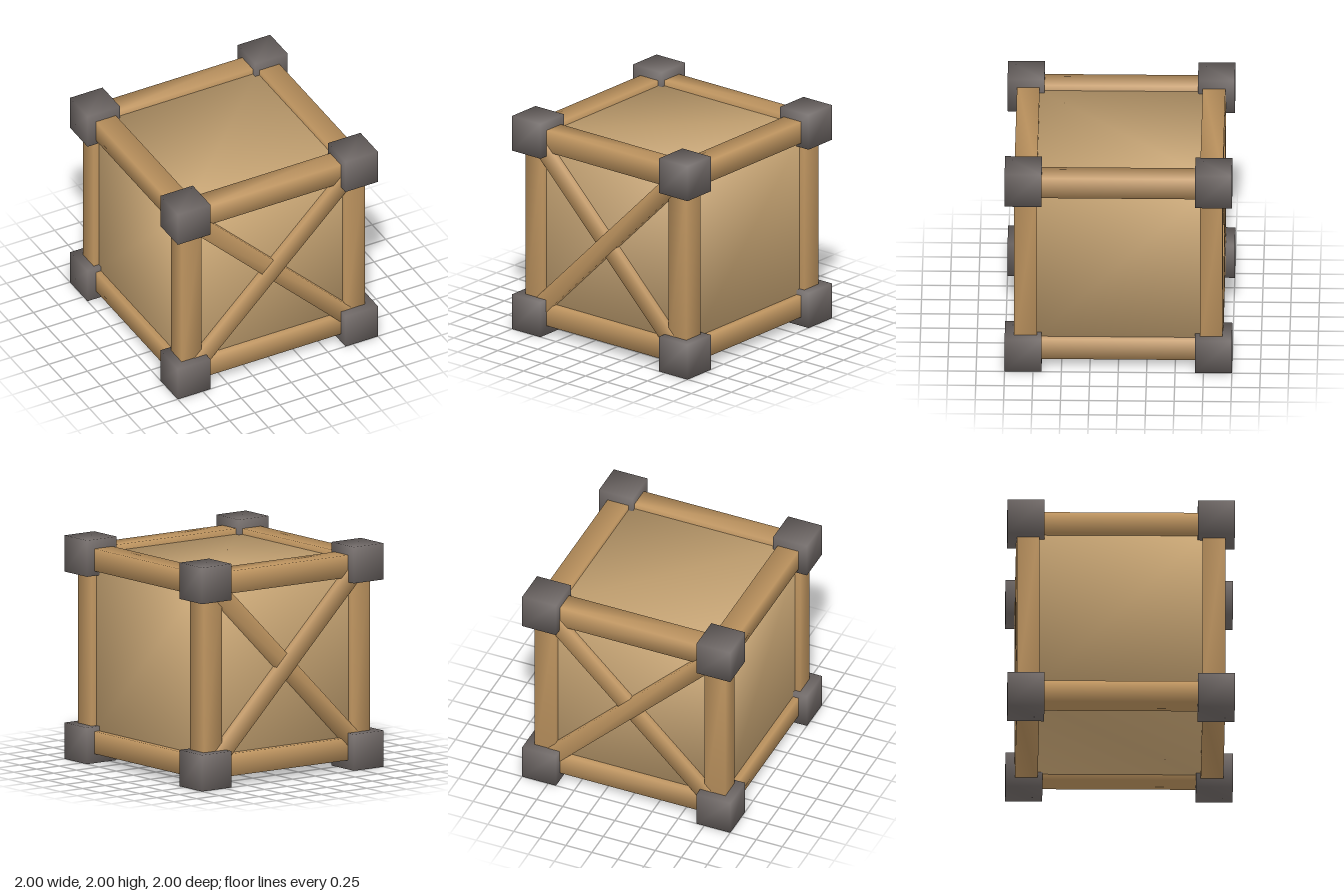
import * as THREE from 'three';
import { mergeVertices } from 'three/addons/utils/BufferGeometryUtils.js';

const wood = new THREE.MeshStandardMaterial({ color: 0xbf9560 });
const paleWood = new THREE.MeshStandardMaterial({ color: 0xcfab78 });
const iron = new THREE.MeshStandardMaterial({ color: 0x6f6866 });

const BEAM = 0.2;      // beam thickness
const MID = 0.817;     // beam centre line, from the crate centre
const BLOCK = 0.325;   // corner block size

// Box with shared corners, so its shading runs softly around the edges
function softBox(w, h, d) {
  const box = new THREE.BoxGeometry(w, h, d);
  box.deleteAttribute('normal');
  box.deleteAttribute('uv');
  const geometry = mergeVertices(box);
  geometry.computeVertexNormals();
  return geometry;
}

function add(parent, name, geometry, material, x = 0, y = 0, z = 0) {
  const mesh = new THREE.Mesh(geometry, material);
  mesh.name = name;
  mesh.position.set(x, y, z);
  parent.add(mesh);
  return mesh;
}

export function createModel() {
  const model = new THREE.Group();
  model.name = 'crate';
  const crate = new THREE.Group();
  crate.name = 'crateBody';
  crate.position.y = 1;
  model.add(crate);

  // Recessed panels
  add(crate, 'panels', softBox(1.73, 1.73, 1.73), paleWood);

  // Four edge beams along each axis
  const length = 2 * MID;
  const beamX = softBox(length, BEAM, BEAM);
  const beamY = softBox(BEAM, length, BEAM);
  const beamZ = softBox(BEAM, BEAM, length);
  for (const a of [-MID, MID]) {
    for (const b of [-MID, MID]) {
      add(crate, 'crossBeam', beamX, wood, 0, a, b);
      add(crate, 'uprightBeam', beamY, wood, a, 0, b);
      add(crate, 'sideBeam', beamZ, wood, a, b, 0);
    }
  }

  // Corner blocks
  const block = softBox(BLOCK, BLOCK, BLOCK);
  const c = 1 - BLOCK / 2;
  for (const x of [-c, c])
    for (const y of [-c, c])
      for (const z of [-c, c]) add(crate, 'cornerBlock', block, iron, x, y, z);

  // Crossed diagonal braces on the front and the back
  const brace = softBox(2.3, 0.16, 0.16);
  for (const [name, turn] of [['frontBraces', 0], ['backBraces', Math.PI]]) {
    const braces = new THREE.Group();
    braces.name = name;
    braces.rotation.y = turn;
    add(braces, 'risingBrace', brace, wood, 0, 0, 0.842).rotation.z = Math.PI / 4;
    add(braces, 'fallingBrace', brace, wood, 0, 0, 0.839).rotation.z = -Math.PI / 4;
    crate.add(braces);
  }
  return model;
}
